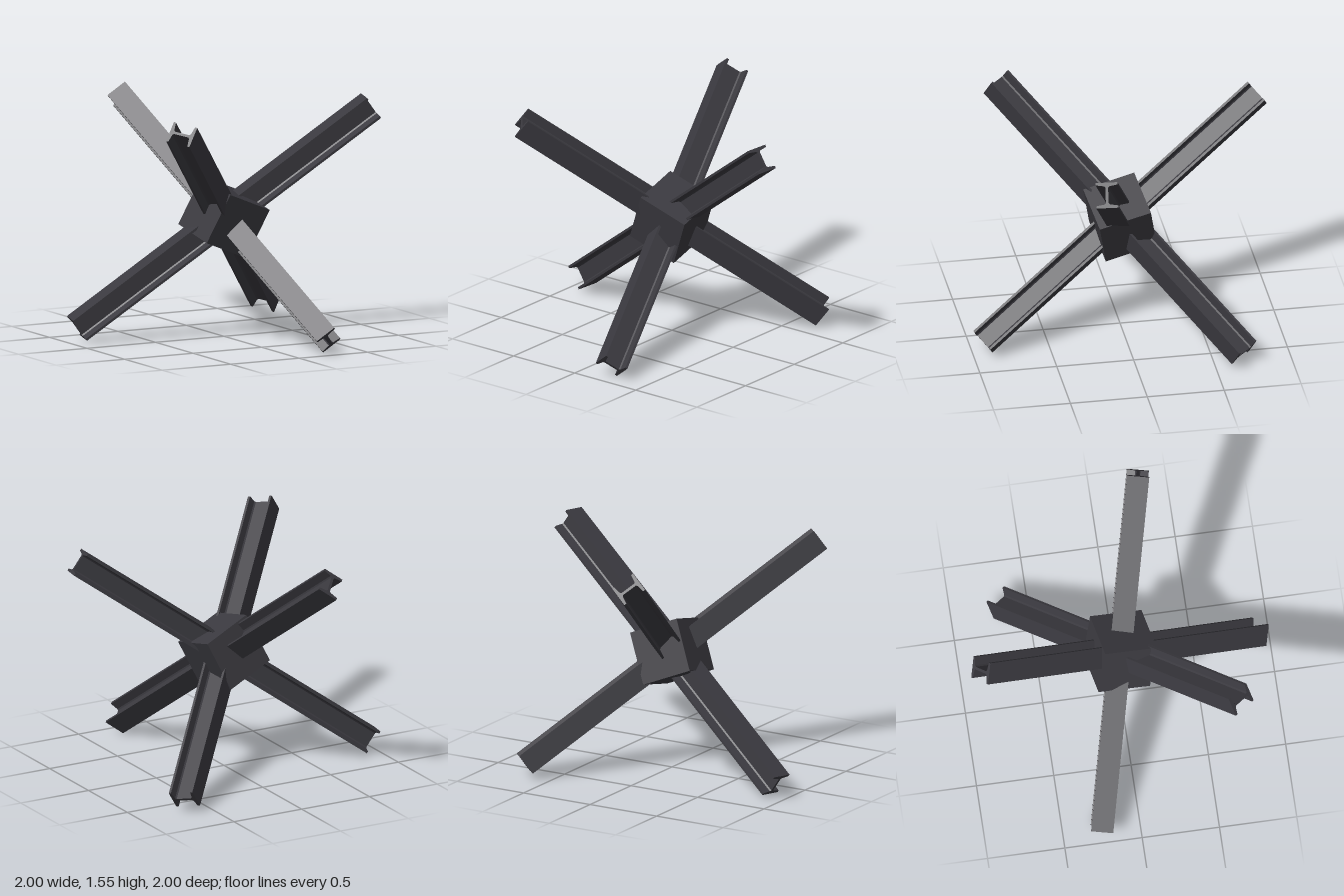
import * as THREE from 'three';

const HALF_LENGTH = 1.187;
const CENTRE_Y = 0.773;

// I-beam cross-section with slightly tapered flanges
function beamGeometry() {
  const w = 0.071, h = 0.0825, web = 0.009, tip = 0.015, root = 0.024;
  const quarter = [[w, h], [w, h - tip], [web + 0.008, h - root], [web, h - root - 0.008]];
  const flip = (sx, sy) => quarter.map(([x, y]) => new THREE.Vector2(x * sx, y * sy));
  const shape = new THREE.Shape([
    ...flip(1, 1),
    ...flip(1, -1).reverse(),
    ...flip(-1, -1),
    ...flip(-1, 1).reverse(),
  ]);
  const geo = new THREE.ExtrudeGeometry(shape, { depth: HALF_LENGTH * 2, bevelEnabled: false });
  geo.translate(0, 0, -HALF_LENGTH);
  return geo;
}

export function createModel() {
  const model = new THREE.Group();
  model.name = 'antiVehicleObstacle';

  const steel = new THREE.MeshStandardMaterial({ color: 0x3b3a40 });
  steel.name = 'dark steel';

  const geo = beamGeometry();
  const rad = THREE.MathUtils.degToRad;

  // three perpendicular beams: heading around y, and roll of the flanges from upright
  const beams = [
    { name: 'beamLeftHigh', heading: 15, roll: 5 },
    { name: 'beamFrontHigh', heading: 135, roll: 78 },
    { name: 'beamBackHigh', heading: 255, roll: -46 },
  ];
  const flat = Math.sqrt(2 / 3), rise = Math.sqrt(1 / 3);
  for (const { name, heading, roll } of beams) {
    const c = Math.cos(rad(heading)), s = Math.sin(rad(heading));
    const along = new THREE.Vector3(flat * c, rise, flat * s);
    const up = new THREE.Vector3(-rise * c, flat, -rise * s);
    const side = new THREE.Vector3(-s, 0, c);
    const flangeNormal = up.multiplyScalar(Math.cos(rad(roll))).addScaledVector(side, Math.sin(rad(roll)));
    const across = flangeNormal.clone().cross(along);
    const beam = new THREE.Mesh(geo, steel);
    beam.name = name;
    beam.quaternion.setFromRotationMatrix(new THREE.Matrix4().makeBasis(across, flangeNormal, along));
    beam.position.y = CENTRE_Y;
    model.add(beam);
  }

  // tilted joint block at the crossing
  const block = new THREE.Mesh(new THREE.BoxGeometry(0.346, 0.346, 0.346), steel);
  block.name = 'jointBlock';
  block.rotation.set(0.23, 0.07, -0.41);
  block.position.y = CENTRE_Y;
  model.add(block);

  return model;
}
